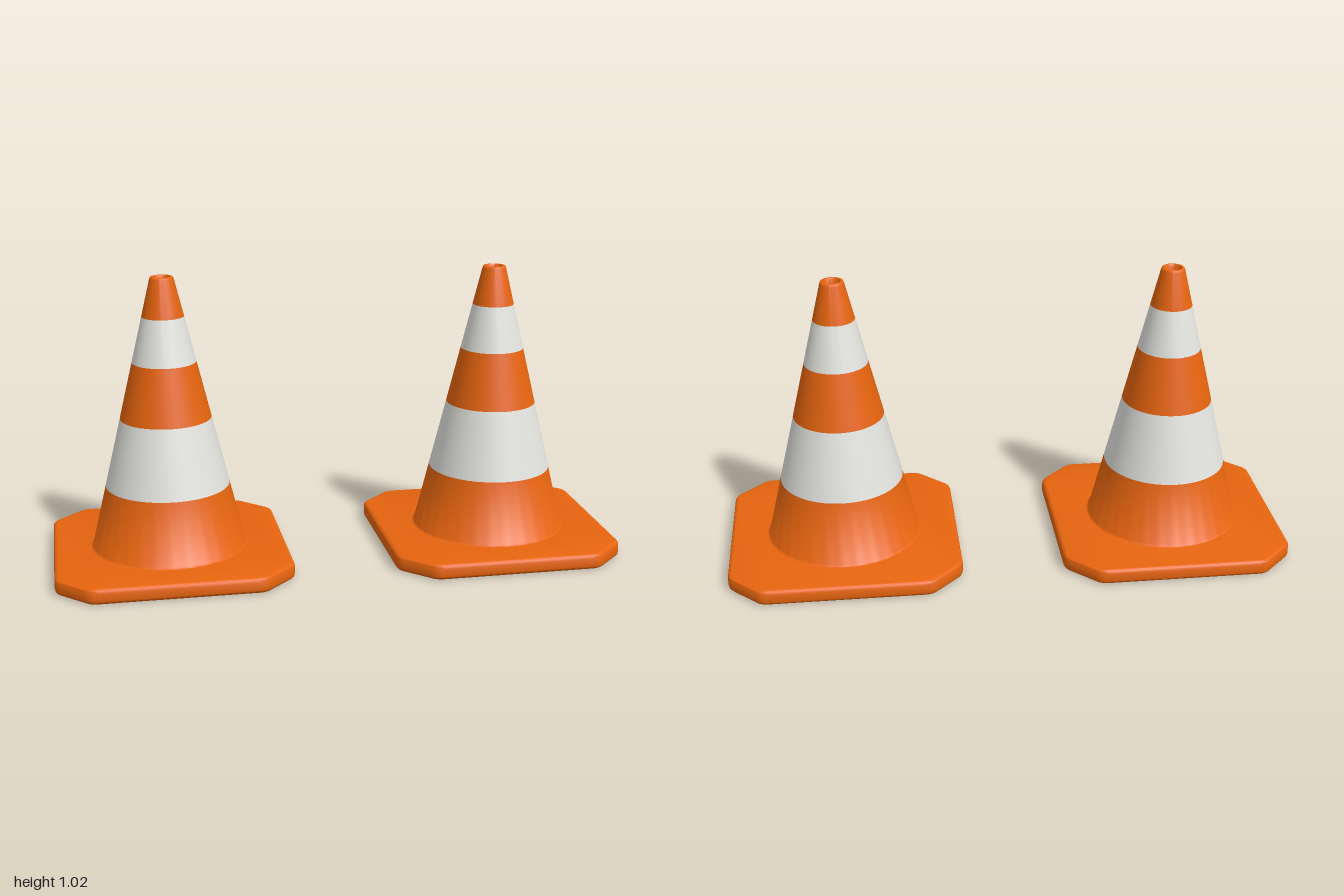
import * as THREE from 'three';
import { toCreasedNormals } from 'three/addons/utils/BufferGeometryUtils.js';

const orange = new THREE.MeshStandardMaterial({ color: 0xe8650f });
const white = new THREE.MeshStandardMaterial({ color: 0xe4e4e0 });
orange.name = 'safety orange';
white.name = 'reflective white';

// Straight taper of the cone body
const BOTTOM = 0.06, TOP = 1.01;
const radiusAt = (y) => 0.271 + (0.042 - 0.271) * (y - BOTTOM) / (TOP - BOTTOM);

function lathe(points, material, name) {
  const geometry = new THREE.LatheGeometry(points.map(([r, y]) => new THREE.Vector2(r, y)), 64);
  const mesh = new THREE.Mesh(toCreasedNormals(geometry, 0.7), material);
  mesh.name = name;
  return mesh;
}

// Square slab with clipped, softened corners and a rounded edge
function makeBase() {
  const half = 0.41, clip = 0.115, soft = 0.025, height = 0.055, bevel = 0.014;
  const corners = [];
  for (const [sx, sy] of [[1, 1], [-1, 1], [-1, -1], [1, -1]]) {
    const a = new THREE.Vector2(sx * half, sy * (half - clip));
    const b = new THREE.Vector2(sx * (half - clip), sy * half);
    corners.push(...(sx * sy > 0 ? [a, b] : [b, a]));
  }
  const shape = new THREE.Shape();
  corners.forEach((c, i) => {
    const toward = (p) => p.clone().sub(c).setLength(soft).add(c);
    const start = toward(corners[(i + 7) % 8]);
    const end = toward(corners[(i + 1) % 8]);
    if (i === 0) shape.moveTo(start.x, start.y);
    else shape.lineTo(start.x, start.y);
    shape.quadraticCurveTo(c.x, c.y, end.x, end.y);
  });
  shape.closePath();
  const geometry = new THREE.ExtrudeGeometry(shape, {
    depth: height - 2 * bevel, bevelThickness: bevel, bevelSize: bevel,
    bevelOffset: -bevel, bevelSegments: 4, curveSegments: 5,
  });
  geometry.translate(0, 0, bevel).rotateX(-Math.PI / 2);
  const mesh = new THREE.Mesh(toCreasedNormals(geometry, 0.7), orange);
  mesh.name = 'base';
  return mesh;
}

function makeCone() {
  const cone = new THREE.Group();
  cone.add(makeBase());

  // Coloured bands, stacked from the bottom; the first has a small foot fillet
  const levels = [BOTTOM, 0.277, 0.52, 0.72, 0.88];
  for (let i = 0; i < 4; i++) {
    const [y0, y1] = [levels[i], levels[i + 1]];
    const points = [[radiusAt(y0), y0], [radiusAt(y1), y1]];
    if (i === 0) points.unshift([0.282, 0.054], [0.275, 0.056]);
    const isWhite = i % 2 === 1;
    cone.add(lathe(points, isWhite ? white : orange, isWhite ? 'whiteStripe' : 'orangeBand'));
  }

  // Tip with rounded rim and recessed hole
  cone.add(lathe([
    [radiusAt(0.88), 0.88], [0.042, 1.01], [0.040, 1.016], [0.037, 1.018],
    [0.031, 1.018], [0.028, 1.014], [0.027, 0.98], [0, 0.98],
  ], orange, 'tip'));
  return cone;
}

export function createModel() {
  const model = new THREE.Group();
  model.name = 'trafficCones';
  for (const [side, name] of [[-1, 'rightCone'], [1, 'leftCone']]) {
    const cone = makeCone();
    cone.name = name;
    cone.position.x = side * 0.59;
    model.add(cone);
  }
  return model;
}
